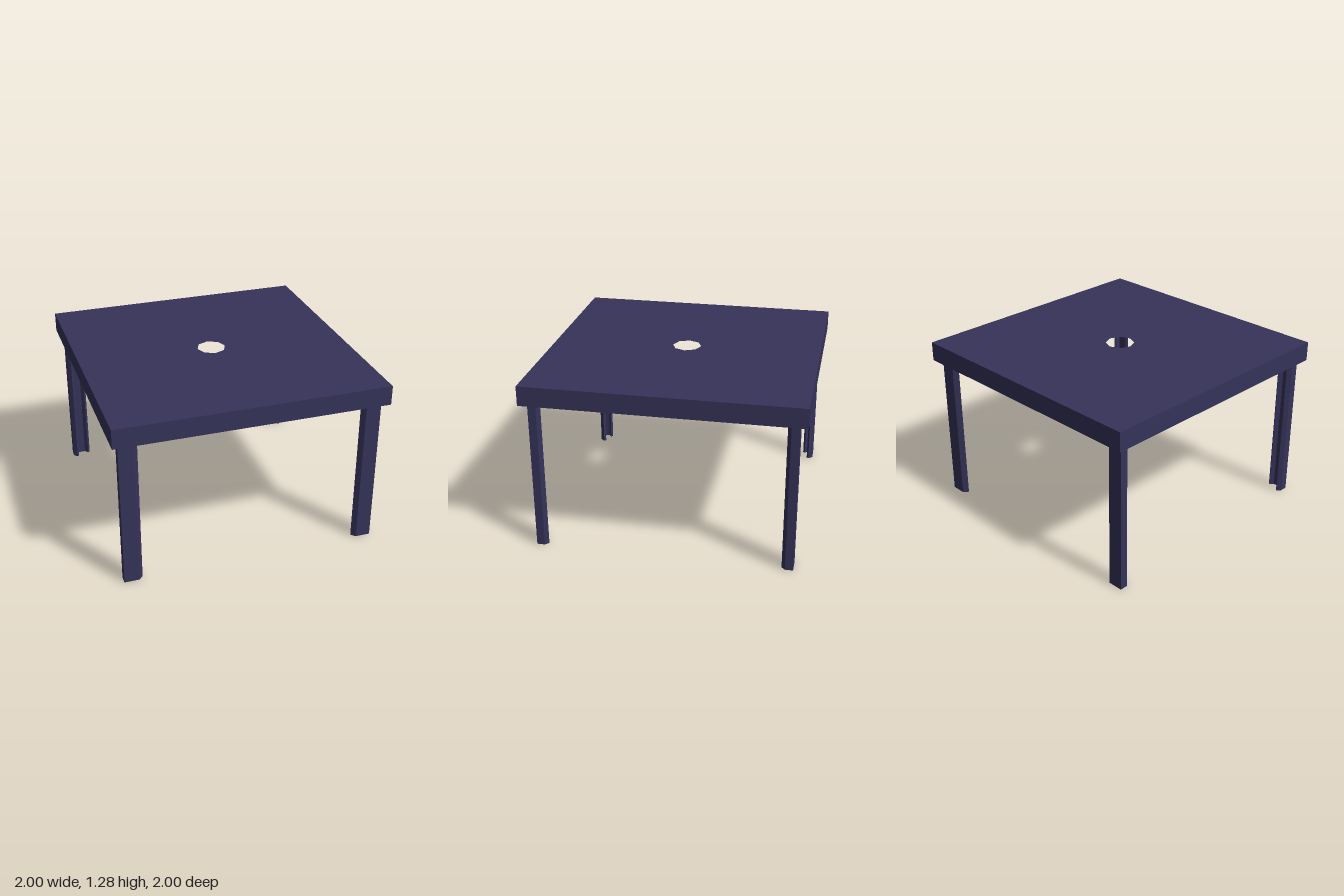
import * as THREE from 'three';

const TOP = 1.277, UNDERSIDE = 1.18, RIM_BOTTOM = 1.132;

// Extrudes an outline drawn in (x, z) upward between two heights.
function slab(name, outline, y0, y1, material, hole) {
  const toPoints = (list) => list.map(([x, z]) => new THREE.Vector2(x, -z));
  const shape = new THREE.Shape(toPoints(outline));
  if (hole) shape.holes.push(new THREE.Path(toPoints(hole)));
  const geometry = new THREE.ExtrudeGeometry(shape, { depth: y1 - y0, bevelEnabled: false });
  geometry.rotateX(-Math.PI / 2);
  geometry.translate(0, y0, 0);
  const mesh = new THREE.Mesh(geometry, material);
  mesh.name = name;
  return mesh;
}

const square = (h) => [[-h, -h], [h, -h], [h, h], [-h, h]];

export function createModel() {
  const group = new THREE.Group();
  group.name = 'table';
  const material = new THREE.MeshStandardMaterial({ color: 0x36335a, flatShading: true });

  // Top plate with an eight-sided hole in the middle
  const hole = [];
  for (let i = 0; i < 8; i++) {
    const a = (i * Math.PI) / 4;
    hole.push([0.107 * Math.cos(a), 0.107 * Math.sin(a)]);
  }
  group.add(slab('tabletop', square(1), UNDERSIDE, TOP, material, hole));

  // Rim hanging below the edge of the plate
  group.add(slab('rim', square(1), RIM_BOTTOM, UNDERSIDE, material, square(0.972)));

  // Angle-section legs with folded-in lips, mirrored to all four corners
  const profile = [
    [0.812, 0.912], [0.842, 0.945], [0.953, 0.945], [0.953, 0.886], [0.926, 0.86],
    [0.912, 0.874], [0.933, 0.894], [0.933, 0.925], [0.851, 0.925], [0.827, 0.898],
  ];
  for (const sz of [1, -1]) {
    for (const sx of [1, -1]) {
      const name = (sz > 0 ? 'front' : 'back') + (sx > 0 ? 'Left' : 'Right') + 'Leg';
      const outline = profile.map(([x, z]) => [x * sx, z * sz]);
      group.add(slab(name, outline, 0, UNDERSIDE, material));
    }
  }
  return group;
}
